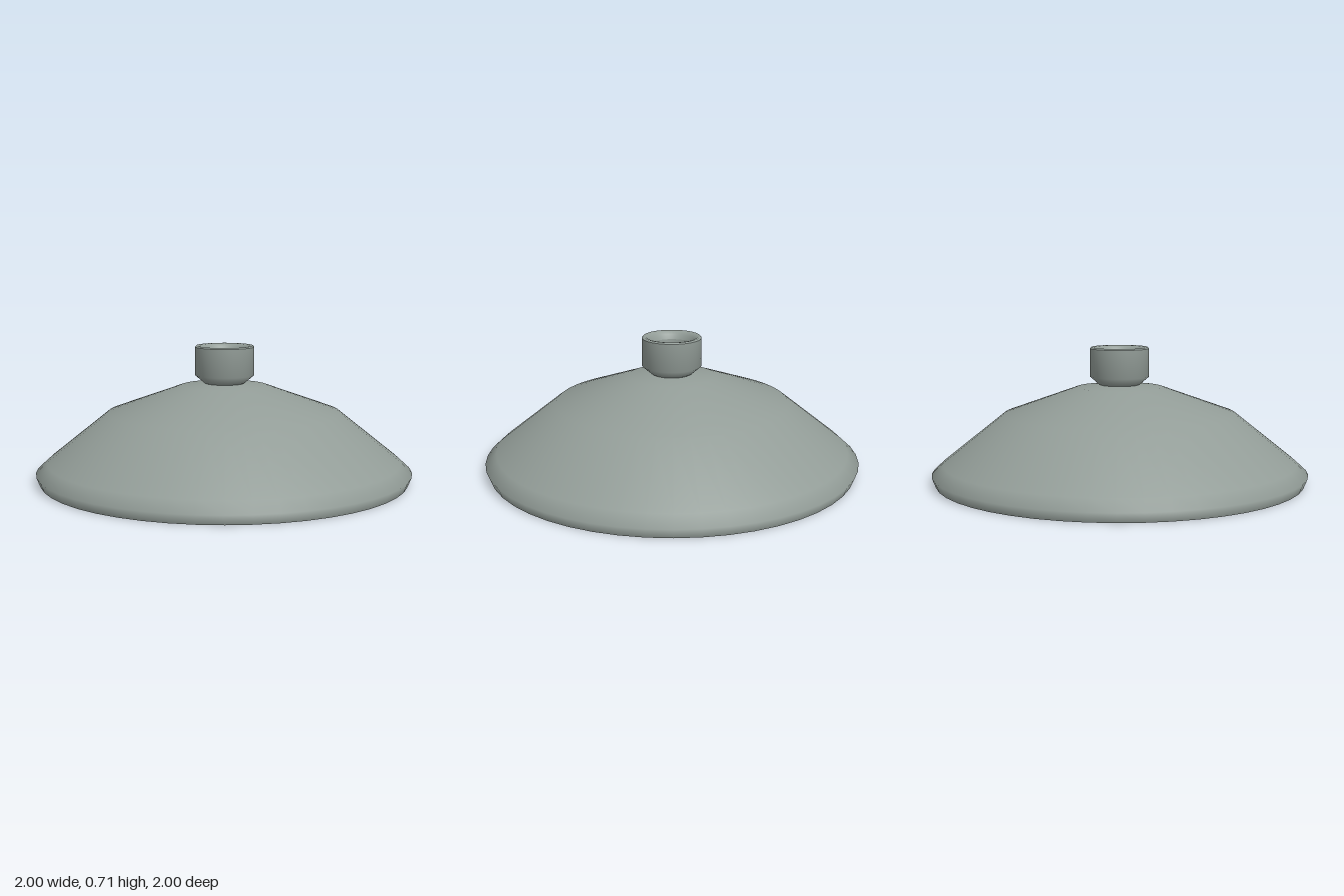
import * as THREE from 'three';

const SIDES = 48;

// Revolves one stretch of profile; separate stretches keep a sharp edge between them.
function revolve(name, points, material) {
  const profile = points.map(([r, y]) => new THREE.Vector2(r, y));
  const mesh = new THREE.Mesh(new THREE.LatheGeometry(profile, SIDES), material);
  mesh.name = name;
  return mesh;
}

export function createModel() {
  const metal = new THREE.MeshStandardMaterial({ color: 0x929c97 });
  metal.name = 'grey enamel';
  const model = new THREE.Group();
  model.name = 'lampShade';

  // Wide shade: outside, bevelled rim, hollow inside of even thickness and the cable hole
  const shade = new THREE.Group();
  shade.name = 'shade';
  shade.add(
    revolve('shadeOuter', [[0.98, 0], [1, 0.05], [0.94, 0.105], [0.62, 0.36], [0.23, 0.5], [0.06, 0.515]], metal),
    revolve('shadeRim', [[0.945, 0.04], [0.98, 0]], metal),
    revolve('shadeInner', [[0.06, 0.462], [0.22, 0.447], [0.605, 0.307], [0.945, 0.04]], metal),
    revolve('cableHole', [[0.06, 0.54], [0.06, 0.462]], metal),
  );

  // Cup-shaped collar on top, with a rounded lip and open upwards
  const collar = new THREE.Group();
  collar.name = 'collar';
  collar.add(
    revolve('collarOuter', [[0.085, 0.503], [0.11, 0.515], [0.157, 0.555], [0.157, 0.705]], metal),
    revolve('collarLip', [[0.157, 0.705], [0.15, 0.712], [0.135, 0.71], [0.118, 0.695], [0.108, 0.67]], metal),
    revolve('collarInner', [[0.108, 0.67], [0.102, 0.58], [0.06, 0.54]], metal),
  );
  collar.position.x = 0.003;

  model.add(shade, collar);
  return model;
}
